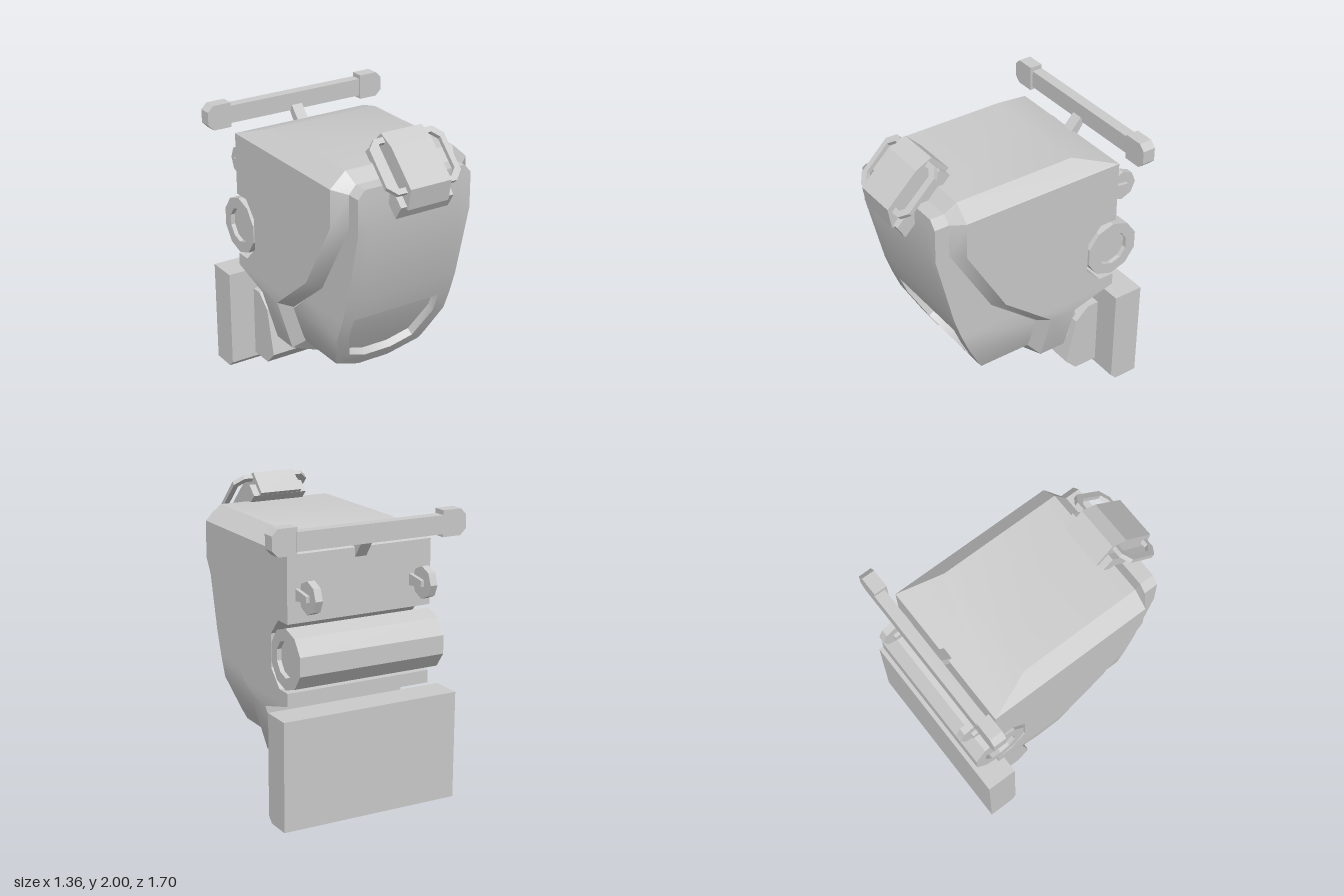
import * as THREE from 'three';
import { toCreasedNormals } from 'three/addons/utils/BufferGeometryUtils.js';

const smooth = new THREE.MeshStandardMaterial({ color: 0xcccccc });
const flat = new THREE.MeshStandardMaterial({ color: 0xcccccc, flatShading: true });

// Straight-line lookup in a table of [y, value], y descending
function lookup(table, y) {
  for (let i = 1; i < table.length; i++) {
    const [y0, v0] = table[i - 1], [y1, v1] = table[i];
    if (y >= y1) return v0 + (v1 - v0) * Math.min(1, Math.max(0, (y0 - y) / (y0 - y1)));
  }
  return table[table.length - 1][1];
}

// Skin over rows of points
function skin(rows) {
  const n = rows[0].length, index = [];
  for (let i = 0; i < rows.length - 1; i++) {
    for (let j = 0; j < n - 1; j++) {
      const a = i * n + j, b = a + n;
      index.push(a, b, b + 1, a, b + 1, a + 1);
    }
  }
  const g = new THREE.BufferGeometry();
  g.setAttribute('position', new THREE.Float32BufferAttribute(rows.flat(2), 3));
  g.setIndex(index);
  return toCreasedNormals(g, 0.45);
}

// Side profile of [z, y] points, extruded across x
function across(profile, width) {
  const shape = new THREE.Shape(profile.map(([z, y]) => new THREE.Vector2(z, y)));
  const g = new THREE.ExtrudeGeometry(shape, { depth: width, bevelEnabled: false });
  return g.translate(0, 0, -width / 2).rotateY(-Math.PI / 2);
}

// Octagon (rectangle with cut corners)
function cutRect(w, h, c, Type = THREE.Shape) {
  return new Type([[w, h - c], [w - c, h], [c - w, h], [-w, h - c], [-w, c - h], [c - w, -h], [w - c, -h], [w, c - h]]
    .map(([x, y]) => new THREE.Vector2(x, y)));
}

export function createModel() {
  const model = new THREE.Group();
  const add = (name, geometry, material = flat, x = 0, y = 0, z = 0) => {
    const mesh = new THREE.Mesh(geometry, material);
    mesh.name = name;
    mesh.position.set(x, y, z);
    model.add(mesh);
    return mesh;
  };

  // Matching edges of the bevel: [half width, y, z]
  const outer = [[0.4, 1.81, 0.52], [0.51, 1.71, 0.52], [0.51, 1.46, 0.52], [0.51, 0.97, 0.23],
    [0.51, 0.67, -0.14], [0.4, 0.3, -0.14], [0.12, 0.19, -0.14]];
  const inner = [[0.37, 1.735, 0.59], [0.42, 1.68, 0.59], [0.42, 1.45, 0.59], [0.42, 0.93, 0.28],
    [0.42, 0.64, -0.08], [0.33, 0.36, -0.08], [0.12, 0.27, -0.08]];
  const outerZ = outer.map(([, y, z]) => [y, z]);
  const innerZ = inner.map(([, y, z]) => [y, z]);

  // Main shell with the notch in its back: [half width, y, back z]
  const shell = [[0.4, 1.81, -0.34], [0.51, 1.71, -0.64], [0.51, 1.46, -0.64], [0.51, 1.28, -0.64],
    [0.51, 1.28, -0.52], [0.51, 1.17, -0.42], [0.51, 0.97, -0.42], [0.51, 0.95, -0.42],
    [0.51, 0.84, -0.53], [0.51, 0.84, -0.64], [0.51, 0.755, -0.64], [0.51, 0.67, -0.335],
    [0.4, 0.3, -0.335], [0.12, 0.19, -0.335]];
  const shellRow = ([x, y, back], front = lookup(outerZ, y)) =>
    [[-x, y, back], [-x, y, front], [x, y, front], [x, y, back], [-x, y, back]];
  const last = shell[shell.length - 1];
  add('shell', skin([shellRow(shell[0], shell[0][2]), ...shell.map((s) => shellRow(s)), shellRow(last, last[2])]), smooth);

  // Bevel between shell and front panel
  const ring = (edge) => {
    const left = edge.map(([x, y, z]) => [-x, y, z]).reverse();
    return [...edge, ...left, edge[0]];
  };
  add('frontBevel', skin([ring(outer), ring(inner)]), smooth);

  // Front panel with recess: [half width, y, z, recess half width, recess depth]
  const panel = [[0.37, 1.735, 0.69, 0.33, 0], [0.42, 1.68, 0.69, 0.33, 0], [0.42, 1.44, 0.69, 0.33, 0],
    [0.42, 0.93, 0.565, 0.33, 0], [0.42, 0.77, 0.51, 0.33, 0], [0.42, 0.77, 0.51, 0.33, 1],
    [0.42, 0.63, 0.452, 0.33, 1], [0.353, 0.42, 0.335, 0.25, 1], [0.33, 0.36, 0.3, 0.1, 1],
    [0.33, 0.36, 0.3, 0.1, 0], [0.12, 0.27, 0.24, 0.1, 0]];
  const panelRow = ([x, y, z, r, d], closed) => {
    const back = lookup(innerZ, y), front = closed ? back : z;
    const fy = y + 0.028 * d, fz = front - 0.048 * d;
    return [[-x, y, back], [-x, y, front], [-r, y, front], [-r, fy, fz],
      [r, fy, fz], [r, y, front], [x, y, front], [x, y, back]];
  };
  add('frontPanel', skin([panelRow(panel[0], true), ...panel.map((p) => panelRow(p, false)),
    panelRow(panel[panel.length - 1], true)]), smooth);

  // Tilted latch on the top front edge
  add('latchBlock', across([[0.85, 1.74], [0.64, 1.945], [0.53, 2], [0.41, 1.88], [0.7, 1.6], [0.825, 1.6]], 0.3));
  add('latchBase', across([[0.815, 1.62], [0.5, 1.925], [0.43, 1.86], [0.76, 1.53]], 0.39));
  const loop = cutRect(0.275, 0.19, 0.06);
  loop.holes.push(cutRect(0.237, 0.152, 0.045, THREE.Path));
  const loopGeometry = new THREE.ExtrudeGeometry(loop, { depth: 0.03, bevelEnabled: false }).translate(0, 0, -0.015);
  add('latchLoop', loopGeometry, flat, 0, 1.837, 0.675).rotation.x = -Math.PI / 4;

  // Carry bar behind the top
  add('carryBar', new THREE.BoxGeometry(1.04, 0.12, 0.075), flat, 0, 1.82, -0.74);
  add('carryBarStem', across([[-0.6, 1.7], [-0.69, 1.8], [-0.72, 1.76], [-0.64, 1.65]], 0.08));
  for (const side of [-1, 1]) {
    const end = new THREE.Shape([[0.51, 1.74], [0.64, 1.74], [0.68, 1.78], [0.68, 1.87], [0.64, 1.91], [0.51, 1.91]]
      .map(([x, y]) => new THREE.Vector2(side * x, y)));
    add('carryBarEnd', new THREE.ExtrudeGeometry(end, { depth: 0.09, bevelEnabled: false }), flat, 0, 0, -0.775);

    // Small discs on pins
    const disc = new THREE.CylinderGeometry(0.105, 0.105, 0.05, 8).rotateZ(Math.PI / 2);
    add('rearDisc', disc, flat, side * 0.405, 1.46, -0.745);
    add('rearDiscPin', across([[-0.63, 1.5], [-0.775, 1.48], [-0.775, 1.44], [-0.63, 1.42]], 0.1), flat, side * 0.405);
  }

  // Roll lying in the back notch, with recessed ends
  const h = 0.513;
  const roll = [[0, -h + 0.03], [0.12, -h + 0.03], [0.12, -h], [0.198, -h], [0.198, h], [0.12, h], [0.12, h - 0.03], [0, h - 0.03]]
    .map(([r, y]) => new THREE.Vector2(r, y));
  add('backRoll', new THREE.LatheGeometry(roll, 10, Math.PI / 2).rotateZ(Math.PI / 2), flat, 0, 1.055, -0.62);

  // Lower back pack
  add('packMount', across([[-0.33, 0.57], [-0.45, 0.5], [-0.45, 0.3], [-0.33, 0.36]], 0.78));
  add('packBody', across([[-0.595, 0.57], [-0.51, 0.57], [-0.41, 0.48], [-0.335, 0.16], [-0.42, 0.07], [-0.595, 0.07]], 0.87));
  add('packPlate', across([[-0.59, 0.72], [-0.59, 0.04], [-0.63, 0], [-0.8, 0], [-0.8, 0.72]], 1.24));

  return model;
}
